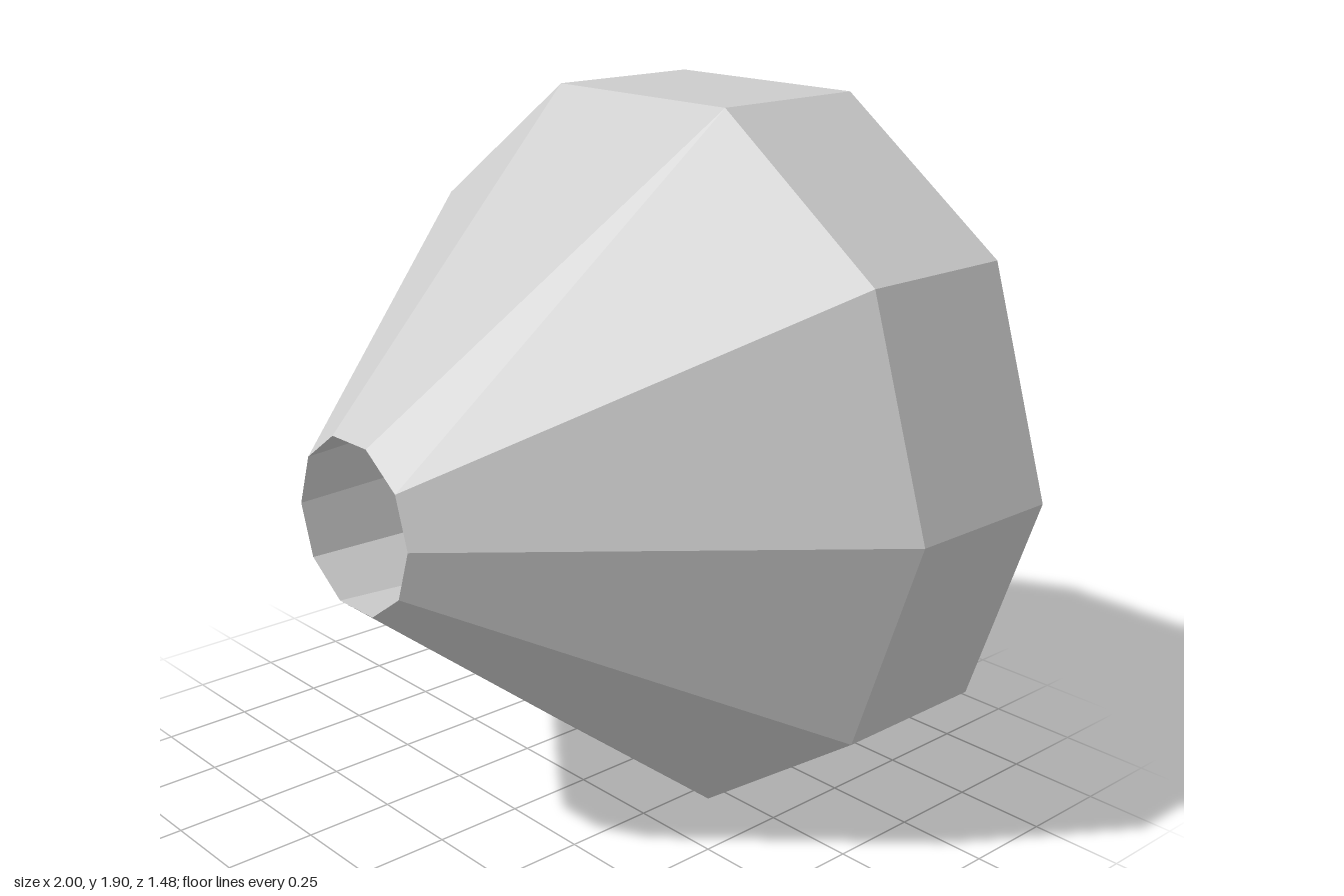
import * as THREE from 'three';

const SIDES = 10;
const CENTRE_Y = 0.951;

// Ten-sided turned part about the z axis; profile is a list of [radius, z].
function turned(profile, faceted) {
  const points = profile.map(([r, z]) => new THREE.Vector2(r, z));
  let geometry = new THREE.LatheGeometry(points, SIDES, Math.PI / 2);
  geometry.rotateX(Math.PI / 2);
  if (faceted) {
    geometry = geometry.toNonIndexed();
    geometry.computeVertexNormals();
  }
  geometry.translate(0, CENTRE_Y, 0);
  return geometry;
}

export function createModel() {
  const group = new THREE.Group();
  group.name = 'nozzle';

  const grey = new THREE.MeshStandardMaterial({ color: 0xcccccc, side: THREE.DoubleSide });
  grey.name = 'light grey';

  const add = (name, profile, faceted) => {
    const mesh = new THREE.Mesh(turned(profile, faceted), grey);
    mesh.name = name;
    group.add(mesh);
  };

  // Straight band at the back, tapering to the small front opening
  add('outerShell', [[1, -0.65], [1, -0.19], [0.226, 0.74]], true);

  // Bevelled back lip rolling smoothly into the bowl
  add('lipAndBowl', [[0.3, -0.25], [0.7, -0.65], [0.75, -0.74], [0.92, -0.74], [1, -0.65]], false);

  // Tunnel behind the front opening
  add('frontTunnel', [[0.226, 0.74], [0.3, -0.25]], true);

  // Shallow dome closing the tunnel at the bottom of the bowl
  const dome = [];
  for (let i = 0; i <= 4; i++) {
    const t = i / 4;
    dome.push([0.3 * t, -0.25 - 0.08 * (1 - t * t)]);
  }
  add('plugDome', dome, false);

  return group;
}
